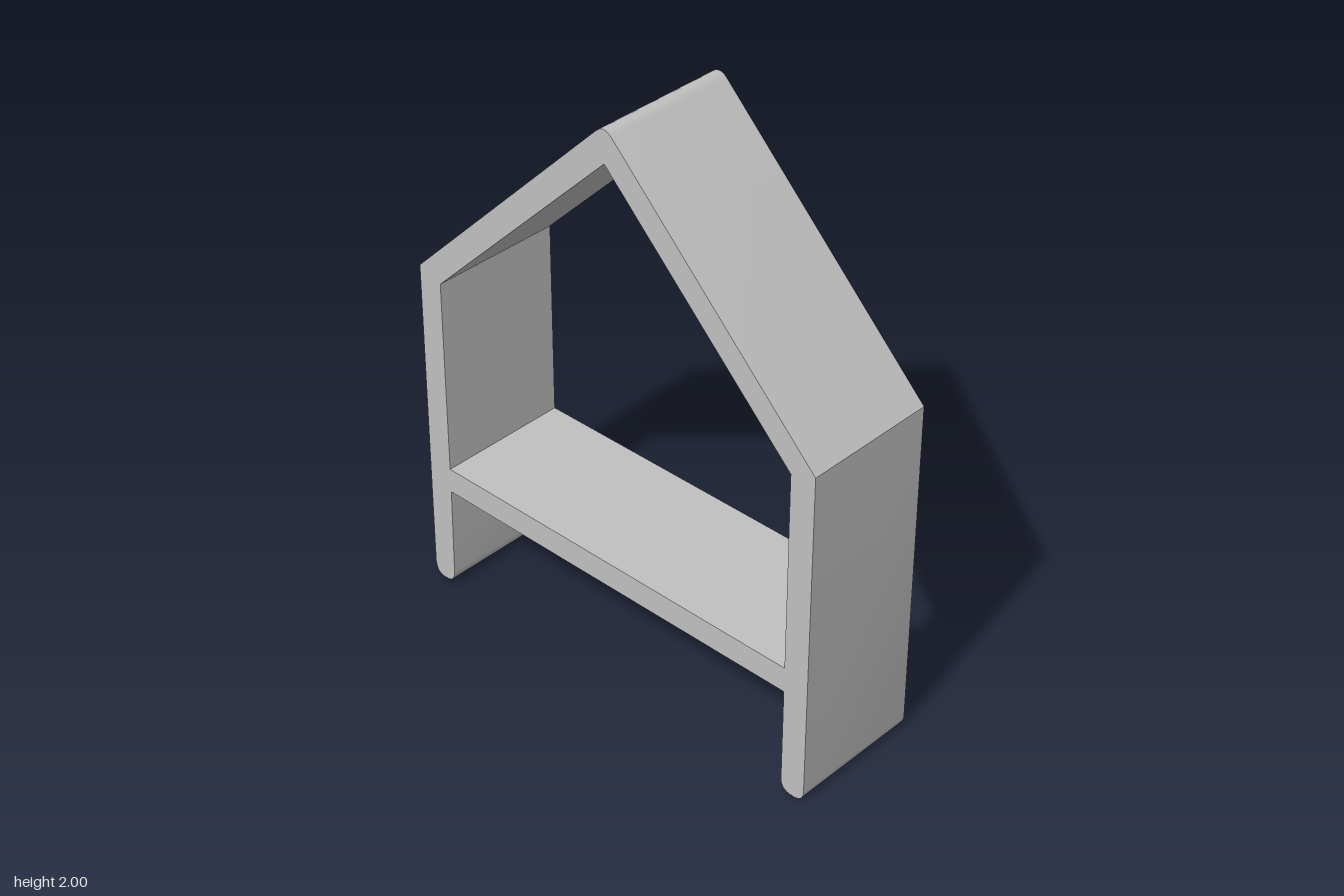
import * as THREE from 'three';
import { toCreasedNormals } from 'three/addons/utils/BufferGeometryUtils.js';

const DEPTH = 0.474;

export function createModel() {
  const group = new THREE.Group();
  group.name = 'houseShelf';
  const grey = new THREE.MeshStandardMaterial({ color: 0xc0c0c0 });
  grey.name = 'plain grey';

  // House outline: two legs with rounded feet, sloping roof, rounded ridge
  const s = new THREE.Shape();
  s.moveTo(0.715, 0.04);
  s.quadraticCurveTo(0.717, 0.004, 0.75, 0);
  s.lineTo(0.77, 0);
  s.quadraticCurveTo(0.803, 0.004, 0.805, 0.04);
  s.lineTo(0.805, 1.212);
  s.lineTo(0.03, 1.985);
  s.quadraticCurveTo(0, 2.015, -0.03, 1.985);
  s.lineTo(-0.805, 1.212);
  // The right leg leans out very slightly and stops a touch higher
  s.lineTo(-0.809, 0.05);
  s.quadraticCurveTo(-0.805, 0.01, -0.775, 0.007);
  s.lineTo(-0.755, 0.007);
  s.quadraticCurveTo(-0.722, 0.01, -0.72, 0.05);
  s.lineTo(-0.715, 0.385);
  s.lineTo(-0.715, 1.18);
  s.lineTo(0, 1.89);
  s.lineTo(0.715, 1.18);
  s.closePath();

  const frameGeometry = new THREE.ExtrudeGeometry(s, {
    depth: DEPTH, bevelEnabled: false, curveSegments: 6,
  });
  frameGeometry.translate(0, 0, -DEPTH / 2);
  const frame = new THREE.Mesh(toCreasedNormals(frameGeometry, 0.45), grey);
  frame.name = 'houseFrame';
  group.add(frame);

  // Shelf board spanning the legs
  const shelf = new THREE.Mesh(new THREE.BoxGeometry(1.43, 0.09, DEPTH), grey);
  shelf.position.y = 0.43;
  shelf.name = 'shelf';
  group.add(shelf);

  return group;
}
